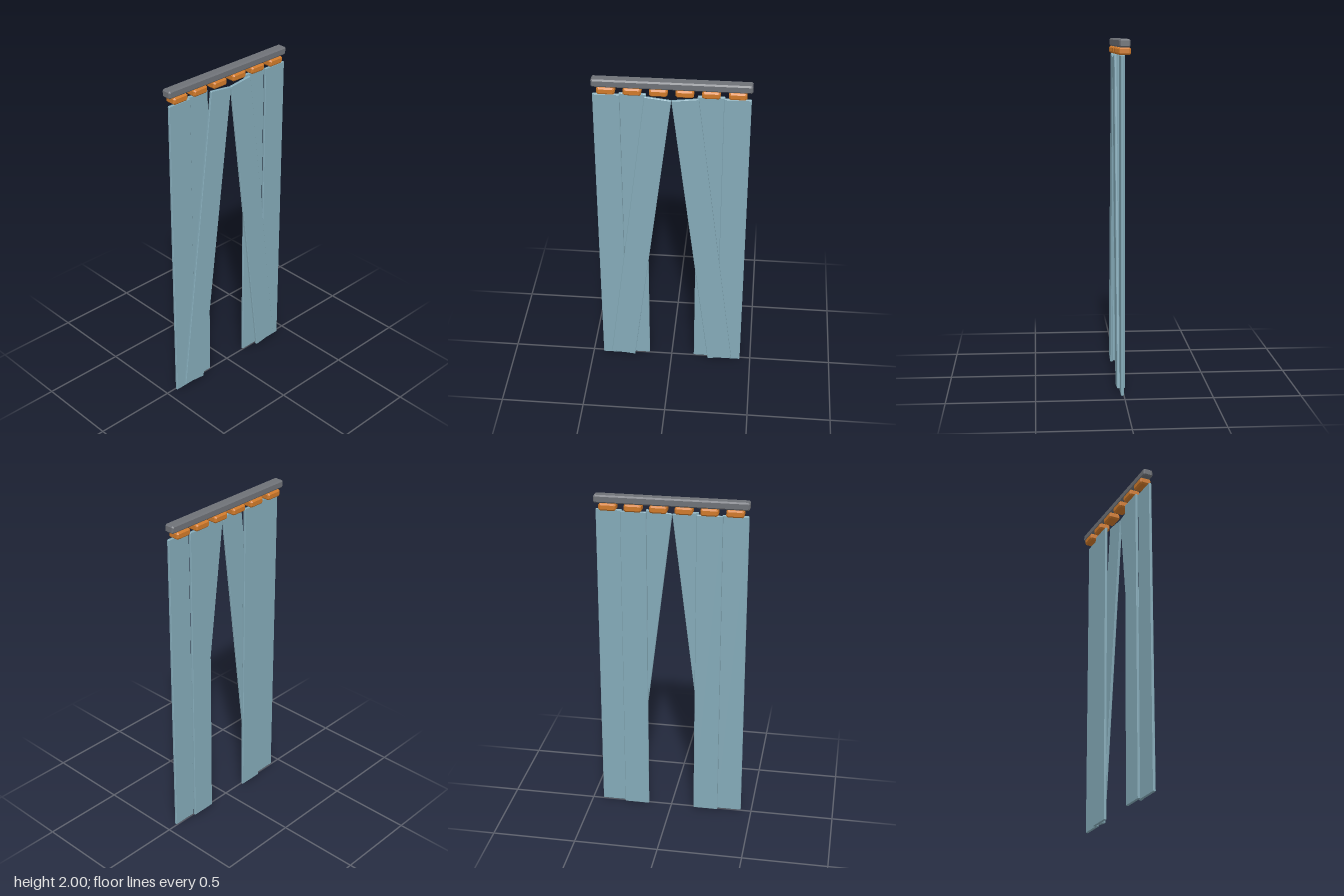
import * as THREE from 'three';

// Box with every edge chamfered by c, centred on the origin
function chamferBox(w, h, d, c) {
  const x = w / 2, y = h / 2;
  const shape = new THREE.Shape([
    [-x + c, -y], [x - c, -y], [x, -y + c], [x, y - c],
    [x - c, y], [-x + c, y], [-x, y - c], [-x, -y + c],
  ].map(([a, b]) => new THREE.Vector2(a, b)));
  const geo = new THREE.ExtrudeGeometry(shape, {
    depth: d - 2 * c, bevelEnabled: true, bevelSegments: 1,
    bevelThickness: c, bevelSize: c, bevelOffset: -c,
  });
  return geo.translate(0, 0, c - d / 2);
}

function material(name, color) {
  const m = new THREE.MeshStandardMaterial({ color });
  m.name = name;
  return m;
}

export function createModel() {
  const group = new THREE.Group();
  const railGrey = material('railGrey', 0x6e7177);
  const clipOrange = material('clipOrange', 0xd07a2a);
  const stripBlue = material('stripBlue', 0x84aab8);

  function add(name, geo, mat, x, y, z, tilt = 0) {
    const mesh = new THREE.Mesh(geo, mat);
    mesh.name = name;
    mesh.position.set(x, y, z);
    mesh.rotation.z = tilt;
    group.add(mesh);
  }

  // Top rail
  add('rail', chamferBox(0.88, 0.046, 0.06, 0.008), railGrey, 0, 1.977, -0.004);

  const clip = chamferBox(0.1, 0.042, 0.07, 0.009);
  const hangingStrip = chamferBox(0.15, 1.91, 0.016, 0.003);
  const sweptStrip = chamferBox(0.15, 1.901, 0.016, 0.003);

  for (const side of [-1, 1]) {
    const label = side < 0 ? 'right' : 'left';

    // Three clips under each half of the rail
    [0.072, 0.216, 0.36].forEach((x, i) =>
      add(`${label}Clip${i + 1}`, clip, clipOrange, side * x, 1.933, -0.005));

    // Straight strips, the outer one lapping over its neighbour
    add(`${label}OuterStrip`, hangingStrip, stripBlue, side * 0.36, 0.955, 0.01);
    add(`${label}MiddleStrip`, hangingStrip, stripBlue, side * 0.216, 0.955, -0.008);

    // Centre strip swept aside in front of the others
    add(`${label}SweptStrip`, sweptStrip, stripBlue, side * 0.19, 0.961, 0.028, side * 0.122);
  }
  return group;
}
